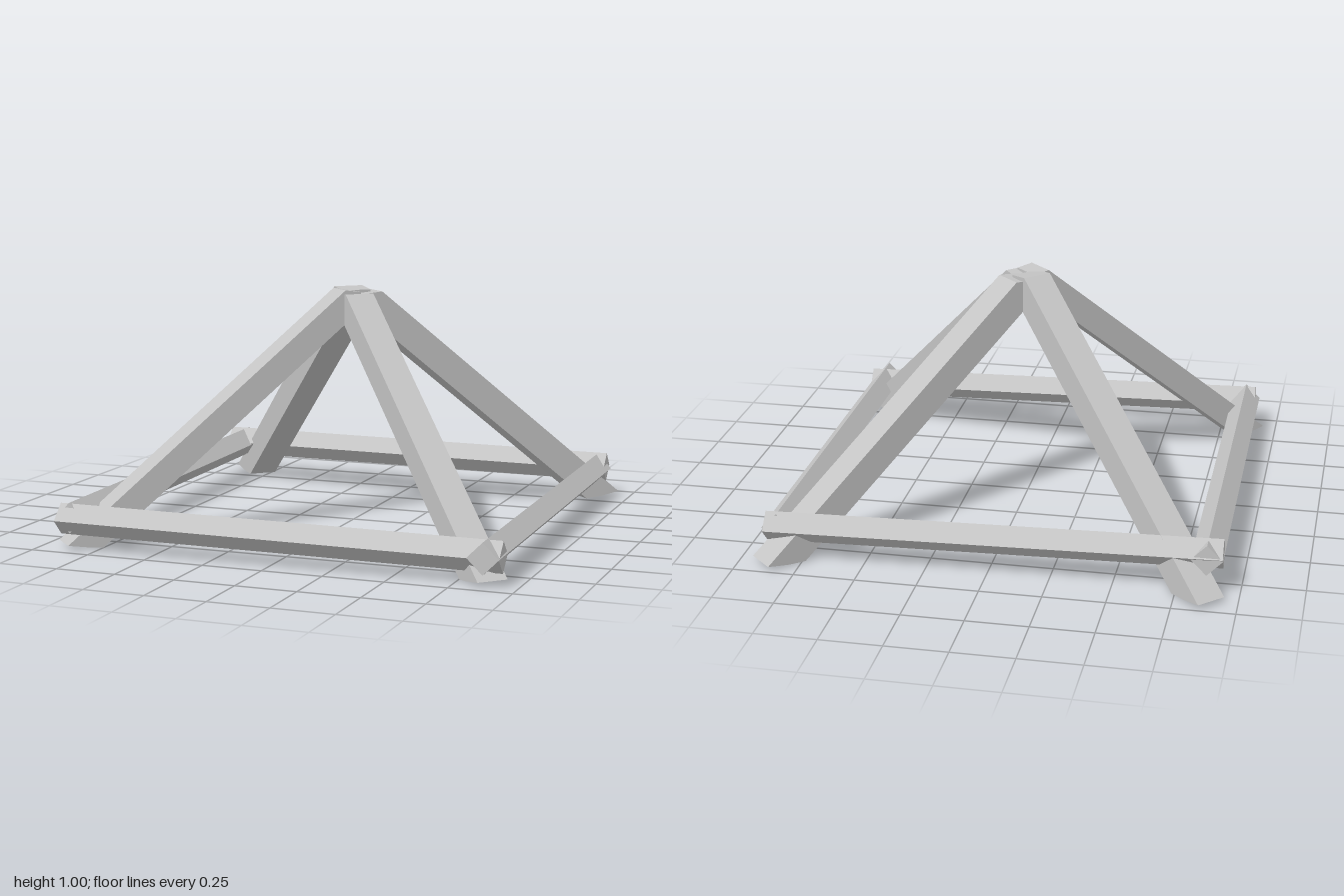
import * as THREE from 'three';

export function createModel() {
  const model = new THREE.Group();
  model.name = 'pyramidFrame';
  const grey = new THREE.MeshStandardMaterial({ color: 0xc4c4c4 });
  grey.name = 'plain grey';

  // Sloping leg: side profile (distance from apex, height) given the beam's width
  function addLeg(name, sx, sz, footZ, topY) {
    const width = 0.127;
    const x0 = -sx * 0.01, z0 = sz * 0.01;
    const dx = sx * 0.9 - x0, dz = sz * footZ - z0;
    const reach = Math.hypot(dx, dz);
    const shoulder = reach - (topY - 0.02) / 0.803;
    const profile = new THREE.Shape([
      [0, 0.912], [1.14, 0], [reach - 0.09, 0.005], [reach, 0.02],
      [shoulder, topY], [0, topY - 0.01],
    ].map(([r, y]) => new THREE.Vector2(r, y)));
    const geometry = new THREE.ExtrudeGeometry(profile, { depth: width, bevelEnabled: false });
    geometry.translate(0, 0, -width / 2);
    const leg = new THREE.Mesh(geometry, grey);
    leg.name = name;
    leg.position.set(x0, 0, z0);
    leg.rotation.y = Math.atan2(-dz, dx);
    model.add(leg);
  }
  addLeg('backRightLeg', -1, -1, 0.95, 0.998);
  addLeg('backLeftLeg', 1, -1, 0.95, 0.982);
  addLeg('frontRightLeg', -1, 1, 0.92, 0.996);
  addLeg('frontLeftLeg', 1, 1, 0.92, 0.98);

  // Square rail standing on its edge, running between two end points
  function addRail(name, from, to) {
    const a = new THREE.Vector3(...from), b = new THREE.Vector3(...to);
    const side = 0.089;
    const geometry = new THREE.BoxGeometry(side, side, a.distanceTo(b));
    geometry.rotateZ(Math.PI / 4);
    const rail = new THREE.Mesh(geometry, grey);
    rail.name = name;
    rail.position.copy(a).lerp(b, 0.5);
    rail.lookAt(b);
    model.add(rail);
  }
  addRail('frontRail', [-0.9, 0.125, 0.937], [0.93, 0.105, 0.885]);
  addRail('backRail', [-0.93, 0.157, -0.81], [0.9, 0.137, -0.857]);
  addRail('leftRail', [0.855, 0.13, -0.87], [0.872, 0.11, 0.96]);
  addRail('rightRail', [-0.87, 0.15, -0.87], [-0.855, 0.13, 0.95]);

  return model;
}
